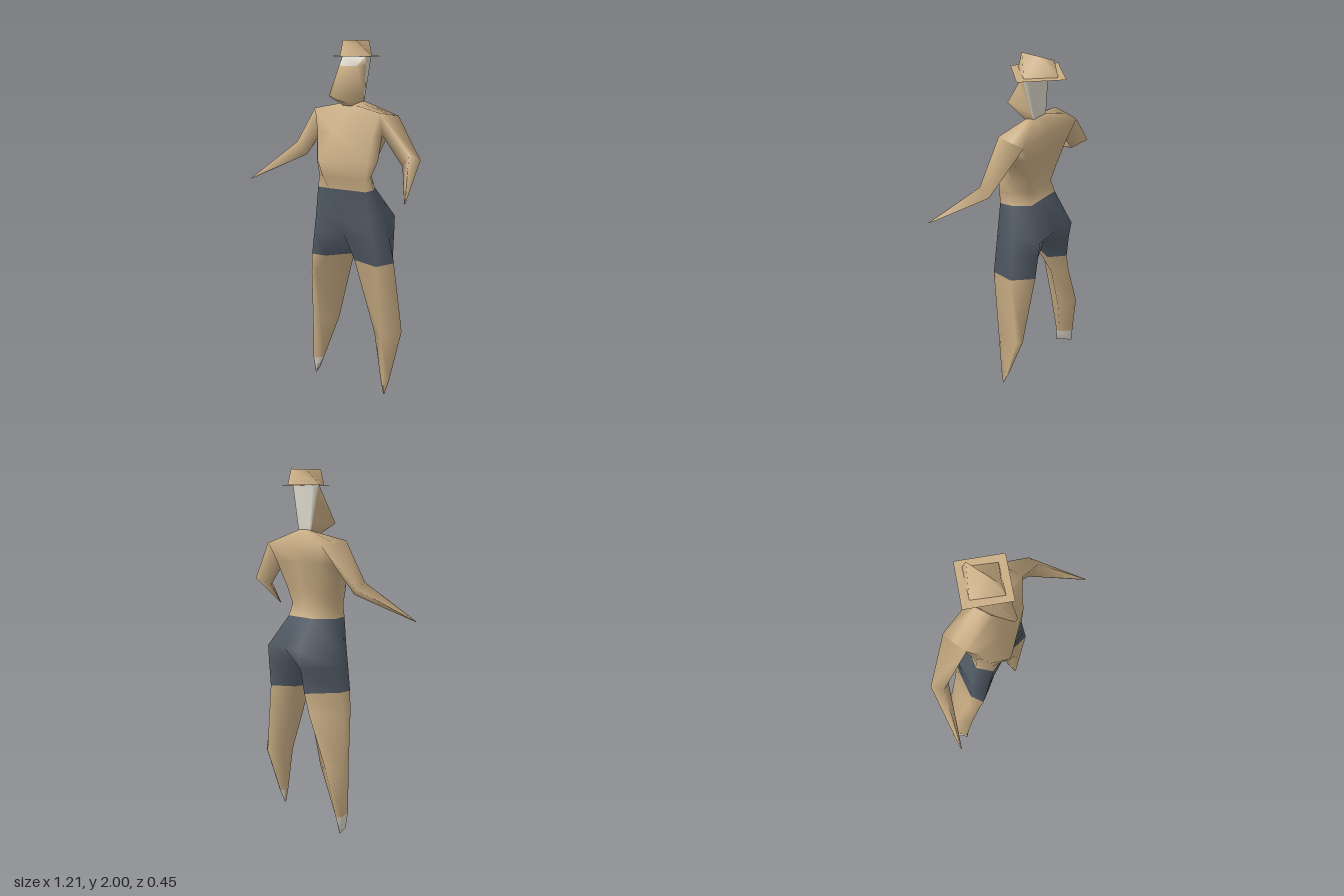
import * as THREE from 'three';

const mat = (name, color) => {
  const m = new THREE.MeshStandardMaterial({ color });
  m.name = name;
  return m;
};

// Turns [y, x, z, x, z, ...] into a loop of points; tilt raises the loop along z.
const level = ([y, ...xz], tilt = 0) => {
  const loop = [];
  for (let i = 0; i < xz.length; i += 2) loop.push([xz[i], y + tilt * xz[i + 1], xz[i + 1]]);
  return loop;
};

// Skins a stack of equal-length loops; pick(row, side) chooses the material index.
function loft(name, loops, materials, { pick = () => 0, capStart = false, capEnd = false, flip = false } = {}) {
  const n = loops[0].length, last = loops.length - 1;
  const buckets = materials.map(() => []);
  const add = (m, a, b, c) => buckets[m].push(...(flip ? [a, c, b] : [a, b, c]));
  for (let i = 0; i < last; i++) {
    for (let j = 0; j < n; j++) {
      const k = (j + 1) % n, a = i * n + j, b = i * n + k, m = pick(i, j);
      add(m, a, b, a + n);
      add(m, b, b + n, a + n);
    }
  }
  for (let j = 1; j < n - 1; j++) {
    if (capStart) add(pick(0, 0), 0, j + 1, j);
    if (capEnd) add(pick(last - 1, 0), last * n, last * n + j, last * n + j + 1);
  }
  const geo = new THREE.BufferGeometry();
  geo.setAttribute('position', new THREE.Float32BufferAttribute(loops.flat(2), 3));
  geo.setIndex(buckets.flat());
  let start = 0;
  buckets.forEach((b, m) => {
    if (b.length) geo.addGroup(start, b.length, m);
    start += b.length;
  });
  geo.computeVertexNormals();
  const mesh = new THREE.Mesh(geo, materials);
  mesh.name = name;
  return mesh;
}

// Averages the normals where neighbouring parts share a corner.
function blendSeams(meshes) {
  const corners = new Map();
  for (const { geometry: { attributes: { position, normal } } } of meshes) {
    for (let i = 0; i < position.count; i++) {
      const key = [position.getX(i), position.getY(i), position.getZ(i)].join();
      if (!corners.has(key)) corners.set(key, { sum: new THREE.Vector3(), uses: [] });
      const corner = corners.get(key);
      corner.sum.add(new THREE.Vector3().fromBufferAttribute(normal, i));
      corner.uses.push([normal, i]);
    }
  }
  for (const { sum, uses } of corners.values()) {
    sum.normalize();
    for (const [normal, i] of uses) normal.setXYZ(i, sum.x, sum.y, sum.z);
  }
}

export function createModel() {
  const skin = mat('skin', 0xc9ad84);
  skin.side = THREE.DoubleSide; // the hat brim is a single sheet
  const shorts = mat('shorts', 0x515a65);
  const pale = mat('pale', 0xd9d5c9);
  const model = new THREE.Group();
  model.name = 'figure';

  // Torso and hips, from the neck down to the crotch
  // Loop order: left side, front left, front, front right, right side, back right, back, back left
  const trunk = [
    level([1.648, 0.05, -0.03, 0.04, 0.005, 0, 0.01, -0.04, 0.005, -0.05, -0.03, -0.04, -0.065, 0, -0.066, 0.04, -0.065], -0.33),
    level([1.612, 0.246, -0.06, 0.245, 0.022, 0, 0.03, -0.258, 0.022, -0.255, -0.06, -0.24, -0.139, 0, -0.135, 0.24, -0.139], 0.16),
    ...[
      [1.49, 0.228, -0.02, 0.212, 0.045, -0.04, 0.097, -0.205, 0.055, -0.23, -0.02, -0.19, -0.115, 0, -0.115, 0.19, -0.115],
      [1.34, 0.195, -0.02, 0.2, 0.066, -0.08, 0.175, -0.165, 0.1, -0.19, 0.01, -0.125, -0.088, 0, -0.085, 0.125, -0.088],
      [1.25, 0.16, 0, 0.186, 0.072, -0.07, 0.145, -0.145, 0.1, -0.178, 0.02, -0.1, -0.07, 0, -0.07, 0.1, -0.07],
      [1.18, 0.172, -0.01, 0.186, 0.068, -0.06, 0.107, -0.145, 0.11, -0.182, 0.02, -0.11, -0.09, 0, -0.09, 0.11, -0.09],
      [1.01, 0.23, -0.05, 0.217, 0.066, -0.01, 0.08, -0.175, 0.1, -0.208, 0.01, -0.12, -0.203, 0.02, -0.19, 0.17, -0.195],
      [0.91, 0.25, -0.06, 0.236, 0.064, 0, 0.05, -0.192, 0.098, -0.22, 0.0, -0.12, -0.187, 0, -0.1, 0.175, -0.185],
    ].map((row) => level(row)),
  ];
  const torso = loft('torsoAndHips', trunk, [skin, shorts], { pick: (i) => (i < 5 ? 0 : 1), capStart: true });

  // Legs continue from the hip loop: shorts, bare leg, pale foot
  const hip = trunk[trunk.length - 1];
  const leftLeg = [
    [0.77, 0.276, -0.07, 0.262, 0.062, 0.065, 0.03, 0.065, -0.08, 0.18, -0.17],
    [0.36, 0.296, -0.12, 0.27, 0.03, 0.195, 0.0, 0.2, -0.08, 0.26, -0.14],
    [0.09, 0.28, -0.035, 0.272, 0.012, 0.25, 0.005, 0.25, -0.02, 0.268, -0.04],
    [0.01, 0.274, 0, 0.272, 0.003, 0.268, 0.002, 0.268, -0.002, 0.271, -0.004],
  ].map((row) => level(row));
  const rightLeg = [
    [0.77, -0.13, 0.07, -0.22, 0.09, -0.234, 0.01, -0.13, -0.168, -0.05, -0.09],
    [0.65, -0.215, 0.062, -0.245, 0.072, -0.256, 0.01, -0.165, -0.16, -0.088, -0.09],
    [0.36, -0.235, 0.015, -0.275, 0.035, -0.325, -0.05, -0.285, -0.14, -0.17, -0.085],
    [0.09, -0.265, -0.01, -0.3, 0.01, -0.332, -0.06, -0.32, -0.095, -0.26, -0.04],
    [0, -0.284, 0.0, -0.286, 0.005, -0.336, -0.076, -0.334, -0.08, -0.284, -0.002],
  ].map((row) => level(row));
  const leg = (name, joint, rows, paleSides) => loft(name, [joint.map((i) => hip[i]), ...rows], [skin, shorts, pale], {
    pick: (i, j) => (i === 0 ? 1 : i === rows.length - 1 && paleSides.includes(j) ? 2 : 0),
    capEnd: true,
  });

  // Arms grow from the shoulder corners and armpit; each loop is back, top front, underside
  const arm = [
    [[0.455, 1.37, -0.075], [0.437, 1.403, 0.0], [0.375, 1.332, -0.02]],
    [[0.603, 1.19, 0.218], [0.601, 1.192, 0.222], [0.599, 1.188, 0.222]],
  ];
  const makeArm = (name, s, [back, front, pit]) => {
    const loops = arm.map((loop) => loop.map(([x, y, z]) => [s * x, y, z]));
    const shoulder = [trunk[1][back], trunk[1][front], trunk[2][pit]];
    return loft(name, [shoulder, ...loops], [skin], { flip: s < 0, capEnd: true });
  };

  const body = [
    torso,
    leg('leftLeg', [0, 1, 2, 6, 7], leftLeg, [3, 4]),
    leg('rightLeg', [2, 3, 4, 5, 6], rightLeg, [0, 1, 2, 3, 4]),
    makeArm('leftArm', 1, [7, 1, 0]),
    makeArm('rightArm', -1, [5, 3, 4]),
  ];
  blendSeams(body);
  model.add(...body);

  // Wedge head with a pointed chin and pale hair at the back and brow
  // Loop order: left temple, front left, front right, right temple, back right, back left
  const head = [
    [1.912, 0.104, -0.022, 0.096, -0.02, -0.076, -0.02, -0.08, -0.022, -0.075, -0.065, 0.1, -0.065],
    [1.86, 0.092, -0.032, 0.072, 0.022, -0.062, 0.022, -0.072, -0.032, -0.07, -0.065, 0.09, -0.065],
    [1.7, 0.058, -0.052, 0.008, 0.148, -0.018, 0.148, -0.056, -0.052, -0.055, -0.066, 0.056, -0.066],
    [1.64, 0.045, -0.058, 0.03, 0.016, -0.035, 0.016, -0.048, -0.058, -0.046, -0.066, 0.043, -0.066],
  ].map((row) => level(row));
  model.add(loft('head', head, [skin, pale], {
    pick: (i, j) => (j >= 3 || (i === 0 && j === 1) ? 1 : 0),
    capEnd: true,
  }));

  // Hat: paper-thin square brim turned to a diamond, with a ridged crown
  const brim = new THREE.Mesh(new THREE.CircleGeometry(0.183, 4), skin);
  brim.name = 'hatBrim';
  brim.rotation.x = -Math.PI / 2;
  brim.position.set(0, 1.912, -0.05);
  model.add(brim);
  const crown = [
    [2.0, 0, -0.05, 0, 0.055, 0, -0.05, 0, -0.155],
    [1.912, 0.122, -0.05, 0, 0.08, -0.122, -0.05, 0, -0.18],
  ].map((row) => level(row));
  model.add(loft('hatCrown', crown, [skin]));

  return model;
}
